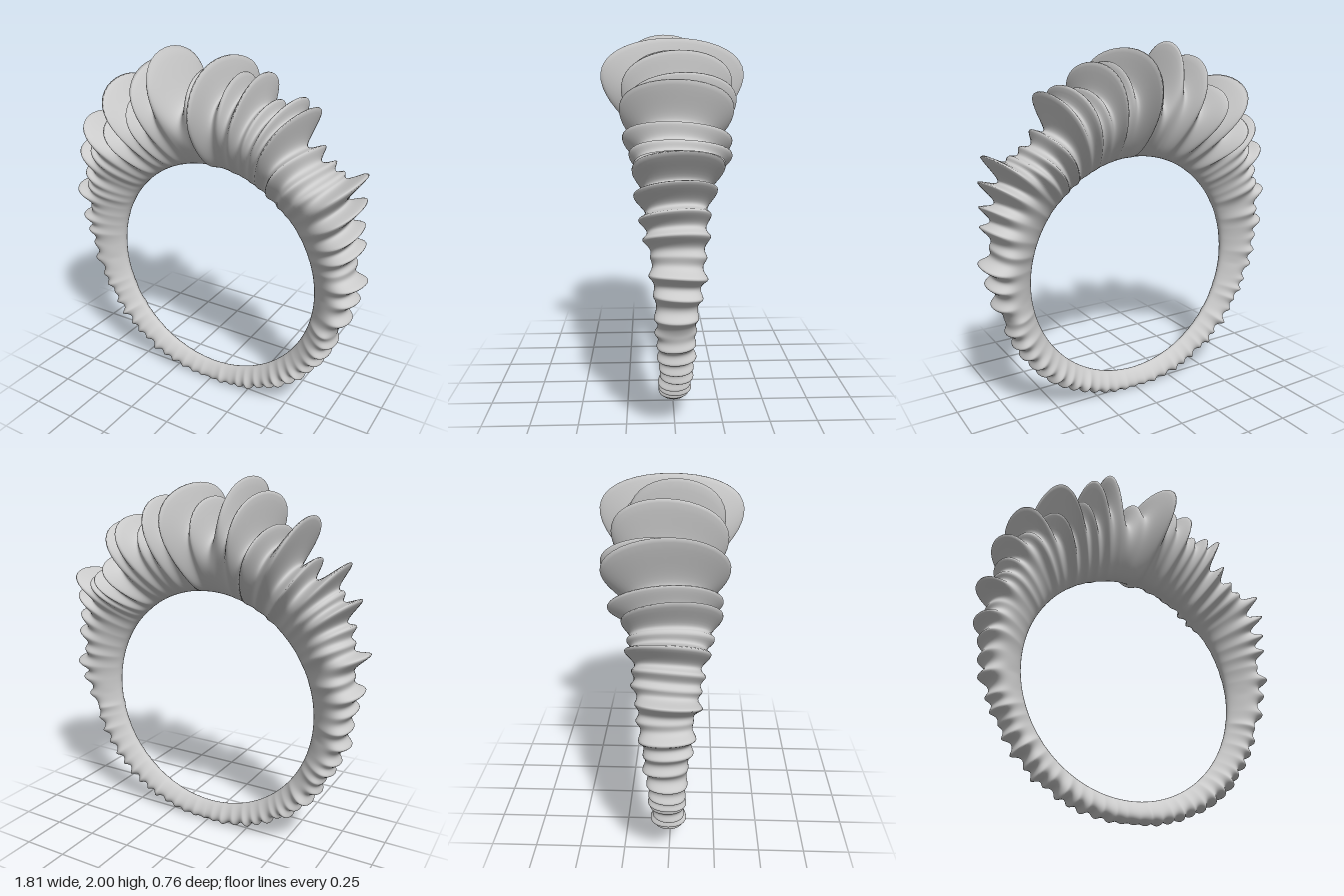
import * as THREE from 'three';

const INNER = 0.635;   // finger hole radius
const CENTRE_Y = 0.755;
const AROUND = 960, SECTION = 48;
const DEG = Math.PI / 180;

// Large petals: [angle from top in degrees (+ towards +x), tip radius, front reach, back reach]
const petals = [
  [-97, 0.85, 0.1, 0.1], [-90, 0.85, 0.1, 0.12], [-83.6, 0.87, 0.13, 0.11], [-77.6, 0.915, 0.14, 0.13],
  [-72, 0.88, 0.12, 0.15], [-66.6, 0.985, 0.17, 0.14], [-61.5, 0.93, 0.16, 0.17], [-57, 0.97, 0.18, 0.16],
  [-51.6, 1.07, 0.2, 0.19], [-47, 1.0, 0.22, 0.18], [-42.5, 1.135, 0.26, 0.2], [-35.5, 1.05, 0.25, 0.29],
  [-28.4, 1.21, 0.28, 0.32], [-22.5, 1.1, 0.23, 0.35], [-16.1, 1.223, 0.28, 0.29], [-10.5, 1.268, 0.28, 0.2],
  [-2.5, 1.146, 0.18, 0.26], [2.8, 1.216, 0.38, 0.39], [8.3, 1.157, 0.24, 0.22], [13.3, 1.176, 0.255, 0.316],
  [18.5, 1.07, 0.21, 0.25], [23.4, 1.128, 0.22, 0.325], [27.9, 1.135, 0.265, 0.29], [35, 0.99, 0.25, 0.28],
  [41, 0.97, 0.21, 0.28], [45.5, 0.98, 0.19, 0.24], [50, 1.103, 0.2, 0.22], [56, 1.037, 0.2, 0.18],
  [62.3, 0.977, 0.18, 0.15], [68.2, 0.942, 0.16, 0.15], [74, 0.87, 0.12, 0.14], [80.2, 0.915, 0.13, 0.14],
  [87, 0.876, 0.11, 0.12], [95, 0.85, 0.11, 0.1],
].map(([deg, tip, front, back]) => ({ deg, tip, front, back, spread: 2.1 }));

// Small ripples fading out towards the bottom of the band
function addRipples() {
  let seed = 7;
  const rand = () => (seed = (seed * 16807) % 2147483647) / 2147483647;
  for (let deg = 102; deg < 258; deg += 4.6 + 2 * rand()) {
    const fade = Math.abs(deg - 180) / 80;
    const reach = 0.057 + 0.04 * fade;
    petals.push({
      deg: deg > 180 ? deg - 360 : deg,
      tip: 0.75 + 0.075 * fade * (0.6 + 0.5 * rand()),
      front: reach * (0.9 + 0.25 * rand()),
      back: reach * (0.9 + 0.25 * rand()),
      spread: 1.8,
    });
  }
}

// Teardrop cross-section, narrow at the hole and wide near the tip
function sectionPoint(t, tip, front, back) {
  const s = (1 - Math.cos(t)) / 2;
  const width = Math.sin(t) * (0.4 + 0.6 * s) / 0.76;
  return [INNER + (tip - INNER) * s, (front - back) / 2 * s + (front + back) / 2 * width];
}

// Valley section of the band, swelling to the top
function valley(deg) {
  const c = (1 + Math.cos(deg * DEG)) / 2;
  const reach = 0.052 + 0.11 * c ** 1.3;
  return [0.742 + 0.21 * c ** 1.5, reach, reach];
}

function bandPoint(deg, t) {
  const base = sectionPoint(t, ...valley(deg));
  const out = [0, 0];
  let total = 0;
  for (const p of petals) {
    let d = Math.abs(deg - p.deg);
    d = Math.min(d, 360 - d);
    if (d > 10) continue;
    const w = Math.exp(-((d / p.spread) ** 1.6));
    const q = sectionPoint(t, p.tip, p.front, p.back);
    total += w;
    out[0] += w * (q[0] - base[0]);
    out[1] += w * (q[1] - base[1]);
  }
  const k = 1 / Math.max(1, total);
  return [base[0] + out[0] * k, base[1] + out[1] * k];
}

function ringGeometry() {
  const pos = [], index = [];
  for (let i = 0; i < AROUND; i++) {
    const deg = -180 + 360 * i / AROUND;
    for (let j = 0; j < SECTION; j++) {
      const [r, z] = bandPoint(deg, 2 * Math.PI * j / SECTION);
      // petals bend slightly along their width
      const a = (deg + 5 * z * Math.sin(deg * 0.13) + 12 * z * z * Math.sin(deg * 0.09 + 1)) * DEG;
      pos.push(r * Math.sin(a), CENTRE_Y + r * Math.cos(a), z);
      const i2 = (i + 1) % AROUND, j2 = (j + 1) % SECTION;
      const p = i * SECTION + j, q = i2 * SECTION + j;
      const u = i * SECTION + j2, v = i2 * SECTION + j2;
      index.push(p, q, u, q, v, u);
    }
  }
  const g = new THREE.BufferGeometry();
  g.setAttribute('position', new THREE.Float32BufferAttribute(pos, 3));
  g.setIndex(index);
  g.computeVertexNormals();
  return g;
}

addRipples();

export function createModel() {
  const group = new THREE.Group();
  group.name = 'petalRing';
  const band = new THREE.Mesh(ringGeometry(), new THREE.MeshStandardMaterial({ color: 0xcccccc }));
  band.name = 'ruffledBand';
  group.add(band);
  return group;
}
